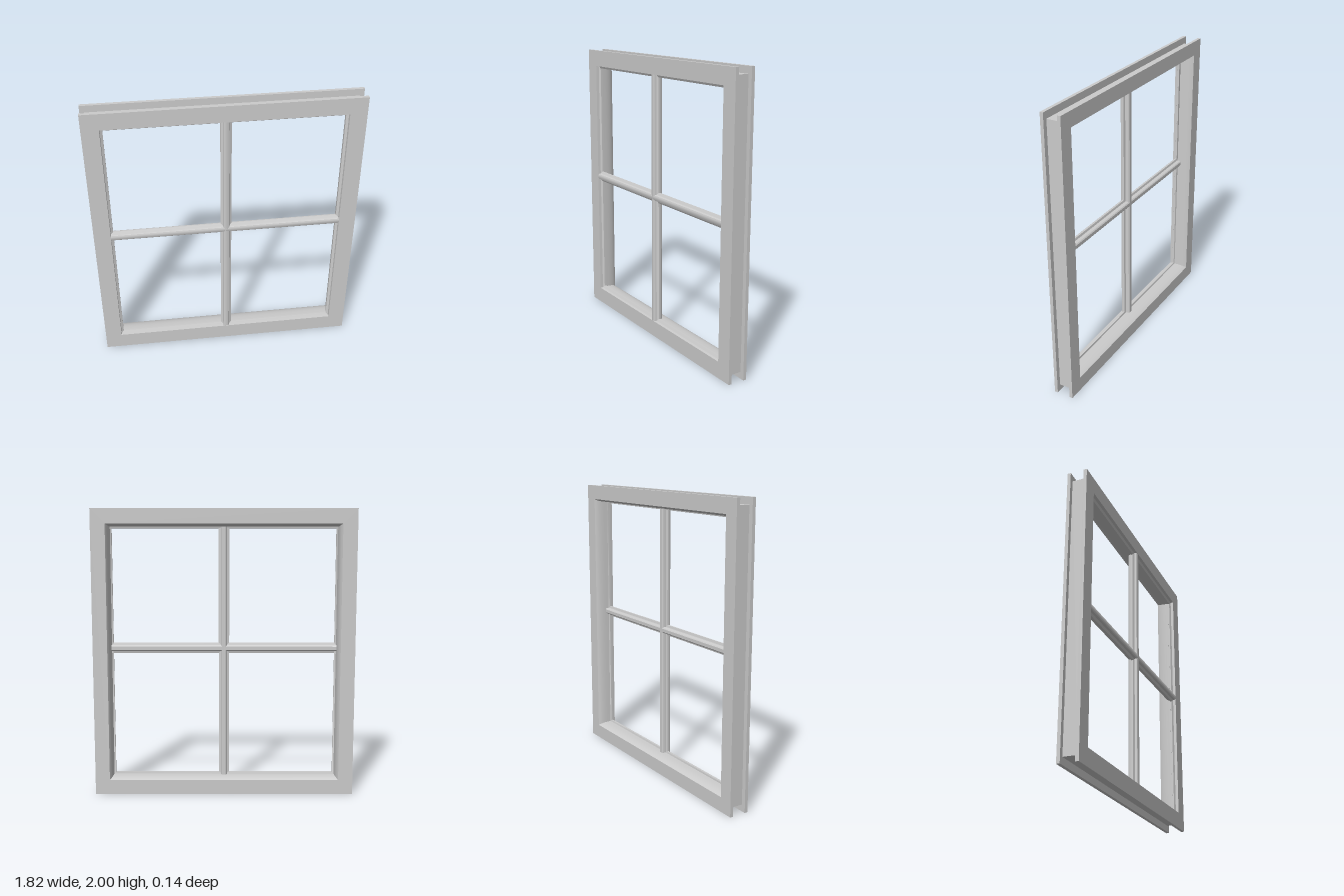
import * as THREE from 'three';
import { toCreasedNormals } from 'three/addons/utils/BufferGeometryUtils.js';

const material = new THREE.MeshStandardMaterial({ color: 0xcccccc });
const HALF_W = 0.91, HALF_H = 1, CREASE = 0.5;

// Sweeps a closed section of [insetX, insetY, z] around a rectangle with mitred corners
function mitredFrame(section) {
  const corners = [[-1, -1], [1, -1], [1, 1], [-1, 1]];
  const pos = [], index = [], n = section.length;
  for (const [sx, sy] of corners) {
    for (const [dx, dy, z] of section) pos.push(sx * (HALF_W - dx), 1 + sy * (HALF_H - dy), z);
  }
  for (let c = 0; c < 4; c++) {
    for (let i = 0; i < n; i++) {
      const j = (i + 1) % n, e = (c + 1) % 4;
      const a = c * n + i, b = c * n + j, d = e * n + i, f = e * n + j;
      index.push(a, d, f, a, f, b);
    }
  }
  const g = new THREE.BufferGeometry();
  g.setAttribute('position', new THREE.Float32BufferAttribute(pos, 3));
  g.setIndex(index);
  return toCreasedNormals(g.toNonIndexed(), CREASE);
}

// Vertical bar of a mirrored [halfWidth, z] section, centred on the origin
function glazingBar(half, length) {
  const left = half.map(([w, z]) => [-w, z]).reverse();
  const shape = new THREE.Shape([...half, ...left].map(([w, z]) => new THREE.Vector2(w, -z)));
  const g = new THREE.ExtrudeGeometry(shape, { depth: length, bevelEnabled: false });
  g.translate(0, 0, -length / 2);
  g.rotateX(-Math.PI / 2);
  return toCreasedNormals(g, CREASE);
}

export function createModel() {
  const group = new THREE.Group();
  const add = (name, geometry, y = 0) => {
    const mesh = new THREE.Mesh(geometry, material);
    mesh.name = name;
    mesh.position.y = y;
    group.add(mesh);
  };

  // Frame section: outer groove, front face, glazing bead, curved back reveal
  const inset = (d, z) => [d, d, z];
  add('frame', mitredFrame([
    inset(0, -0.07), inset(0, -0.047), [0.03, 0.047, -0.047], [0.03, 0.047, 0.047],
    inset(0, 0.047), inset(0, 0.07), inset(0.115, 0.07), inset(0.117, 0.05),
    inset(0.133, 0.042), inset(0.133, 0.03), inset(0.122, 0.026), inset(0.121, 0),
    inset(0.119, -0.02), inset(0.115, -0.04), inset(0.109, -0.057), inset(0.101, -0.07),
  ]));

  // Glazing bars: rounded noses front and back with a wider bead between
  const bar = [
    [0.012, 0.068], [0.018, 0.065], [0.021, 0.059], [0.022, 0.05],
    [0.037, 0.042], [0.037, 0.032], [0.022, 0.028],
    [0.021, 0.013], [0.018, 0.005], [0.011, 0],
  ];
  add('verticalGlazingBar', glazingBar(bar, 1.78), 1);
  add('horizontalGlazingBar', glazingBar(bar, 1.6).rotateZ(Math.PI / 2), 1.035);
  return group;
}
